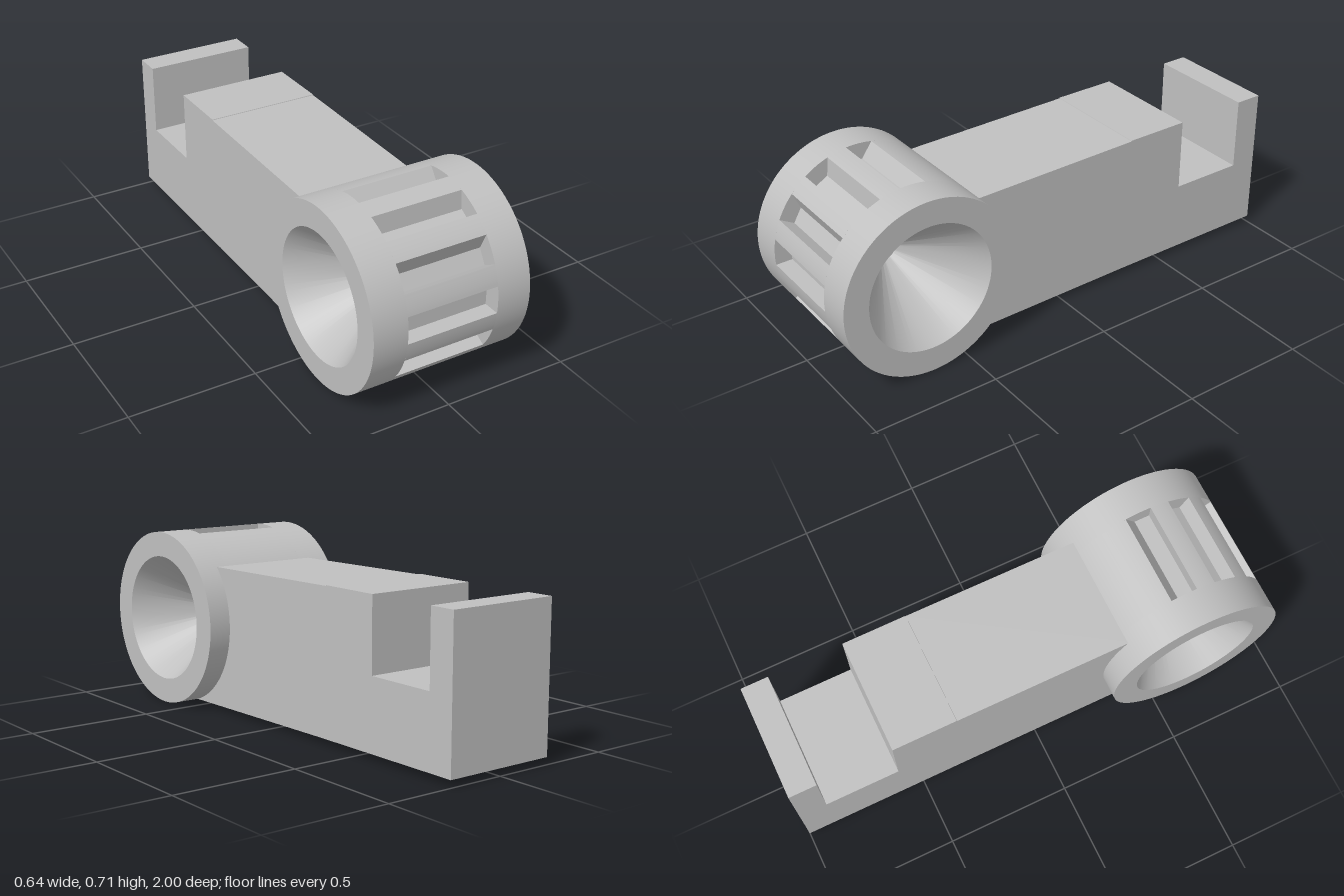
import * as THREE from 'three';
import { toCreasedNormals } from 'three/addons/utils/BufferGeometryUtils.js';

const CY = 0.355, CZ = 0.645;            // barrel axis
const R = 0.355, BORE = 0.255;           // outer radius, cone mouth radius
const HALF = 0.322, SLOT_HALF = 0.185;   // half widths of barrel and slots

// Extrude a (-z, y) outline sideways from x0 to x1
function extrudeX(shape, x0, x1) {
  const geo = new THREE.ExtrudeGeometry(shape, { depth: x1 - x0, bevelEnabled: false, curveSegments: 64 });
  geo.rotateY(Math.PI / 2).translate(x0, 0, 0);
  return toCreasedNormals(geo, 0.35);
}

function addBore(shape) {
  shape.holes.push(new THREE.Path().absarc(0, 0, BORE, 0, Math.PI * 2, true));
  return shape;
}

// Barrel cross-section with seven ratchet-like notches, 30 degrees apart
function notchedSection() {
  const notch = [[0.3535, -0.033], [0.2875, -0.033], [0.2875, 0.03], [0.347, 0.073]];
  const start = Math.atan2(-0.033, 0.3535), end = Math.atan2(0.073, 0.347);
  const step = Math.PI / 6;
  const pts = [];
  for (let k = -3; k <= 3; k++) {
    const a = k * step, c = Math.cos(a), s = Math.sin(a);
    for (const [z, y] of notch) pts.push(new THREE.Vector2(-(z * c - y * s), z * s + y * c));
    const from = a + end;
    const to = k < 3 ? a + step + start : -3 * step + start + Math.PI * 2;
    const n = k < 3 ? 6 : 60;
    for (let i = 1; i < n; i++) {
      const t = from + (to - from) * i / n;
      pts.push(new THREE.Vector2(-R * Math.cos(t), R * Math.sin(t)));
    }
  }
  return addBore(new THREE.Shape(pts));
}

// Arm side outline, ending in an arc just inside the barrel wall
function armSection() {
  const r = 0.345, topY = 0.588, botY = 0.017;
  const aTop = Math.asin((topY - CY) / r), aBot = Math.asin((botY - CY) / r);
  const pts = [];
  for (let i = 0; i <= 24; i++) {
    const t = aBot + (aTop - aBot) * i / 24;
    pts.push([CZ - r * Math.cos(t), CY + r * Math.sin(t)]);
  }
  pts.push([-0.33, 0.597], [-0.331, 0.6], [-0.59, 0.6], [-0.59, 0.31],
    [-0.89, 0.31], [-0.89, 0.6], [-1, 0.6], [-1, 0.028], [-0.3, 0.026]);
  return new THREE.Shape(pts.map(([z, y]) => new THREE.Vector2(-z, y)));
}

export function createModel() {
  const grey = new THREE.MeshStandardMaterial({ color: 0xc0c0c0 });
  grey.name = 'plain grey';
  const model = new THREE.Group();
  model.name = 'slottedBarrelArm';
  const add = (parent, name, geo) => {
    const mesh = new THREE.Mesh(geo, grey);
    mesh.name = name;
    parent.add(mesh);
    return mesh;
  };

  const barrel = new THREE.Group();
  barrel.name = 'barrel';
  barrel.position.set(0, CY, CZ);
  model.add(barrel);

  add(barrel, 'slottedMiddle', extrudeX(notchedSection(), -SLOT_HALF, SLOT_HALF));

  // End rings and conical recesses on both sides
  const ring = addBore(new THREE.Shape().absarc(0, 0, R, 0, Math.PI * 2, false));
  const ringGeo = extrudeX(ring, SLOT_HALF, HALF);
  const profile = [[BORE, HALF], [0.033, 0.012], [0, 0.012]].map(([r, y]) => new THREE.Vector2(r, y));
  const coneGeo = toCreasedNormals(new THREE.LatheGeometry(profile, 128).rotateZ(-Math.PI / 2), 0.35);
  for (const [side, turn] of [['left', 0], ['right', Math.PI]]) {
    add(barrel, side + 'EndRing', ringGeo).rotation.y = turn;
    add(barrel, side + 'ConeRecess', coneGeo).rotation.y = turn;
  }

  // Arm with a square notch near its back end
  add(model, 'notchedArm', extrudeX(armSection(), -0.23, 0.23));
  return model;
}
